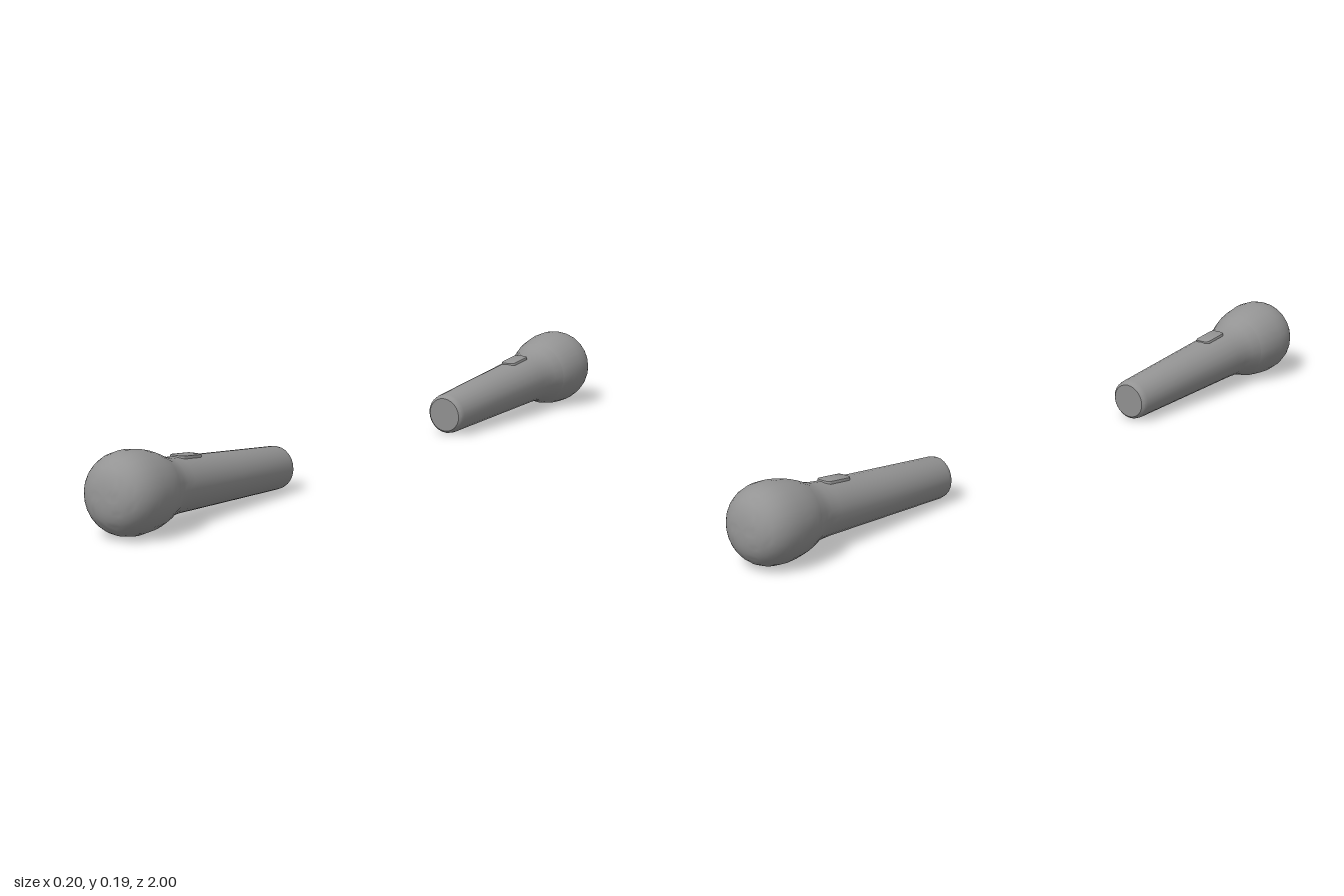
import * as THREE from 'three';
import { toCreasedNormals } from 'three/addons/utils/BufferGeometryUtils.js';

const material = new THREE.MeshStandardMaterial({ color: 0x949494 });
const SIDES = 24;

// Surface of revolution whose axis is z; points are [radius, z]
function turned(name, points) {
  const lathe = new THREE.LatheGeometry(points.map(([r, z]) => new THREE.Vector2(r, z)), SIDES);
  lathe.rotateX(Math.PI / 2);
  const mesh = new THREE.Mesh(toCreasedNormals(lathe, 0.6), material);
  mesh.name = name;
  return mesh;
}

// Small switch plate with rounded corners
function createSwitch() {
  const w = 0.018, l = 0.037, r = 0.01;
  const s = new THREE.Shape();
  s.absarc(w - r, l - r, r, 0, Math.PI / 2);
  s.absarc(r - w, l - r, r, Math.PI / 2, Math.PI);
  s.absarc(r - w, r - l, r, Math.PI, Math.PI * 1.5);
  s.absarc(w - r, r - l, r, Math.PI * 1.5, Math.PI * 2);
  const geometry = new THREE.ExtrudeGeometry(s, {
    depth: 0.012, bevelThickness: 0.002, bevelSize: 0.002, bevelSegments: 2, curveSegments: 4,
  });
  geometry.rotateX(-Math.PI / 2);
  const mesh = new THREE.Mesh(toCreasedNormals(geometry, 0.6), material);
  mesh.name = 'switch';
  mesh.position.set(0, 0.0515, -0.189);
  mesh.rotation.x = -0.04; // follows the taper of the handle
  return mesh;
}

// One microphone, origin at the centre of its head, pointing along +z
function createMicrophone() {
  const mic = new THREE.Group();

  // Tapered handle with chamfered end and flared neck
  mic.add(turned('handle', [
    [0, -0.54], [0.043, -0.54], [0.049, -0.534], [0.051, -0.524],
    [0.0575, -0.33], [0.0635, -0.15], [0.066, -0.12], [0.071, -0.098], [0.081, -0.073],
  ]));

  // Rounded head, slightly flattened at the tip
  const head = [[0.081, -0.073], [0.087, -0.055], [0.092, -0.03]];
  for (let i = 0; i <= 12; i++) {
    const a = (i / 12) * Math.PI / 2, e = 2 / 2.5;
    head.push([i === 12 ? 0 : 0.095 * Math.cos(a) ** e, 0.095 * Math.sin(a) ** e]);
  }
  mic.add(turned('head', head));
  mic.add(createSwitch());

  // The narrow end of the handle rests lower than the head
  mic.rotation.x = -0.079;
  mic.position.set(0.004, 0.0955, 0.905);
  return mic;
}

export function createModel() {
  const model = new THREE.Group();
  model.name = 'microphones';
  for (const [name, turn] of [['frontMicrophone', 0], ['backMicrophone', Math.PI]]) {
    const holder = new THREE.Group();
    holder.name = name;
    holder.rotation.y = turn;
    holder.add(createMicrophone());
    model.add(holder);
  }
  return model;
}
